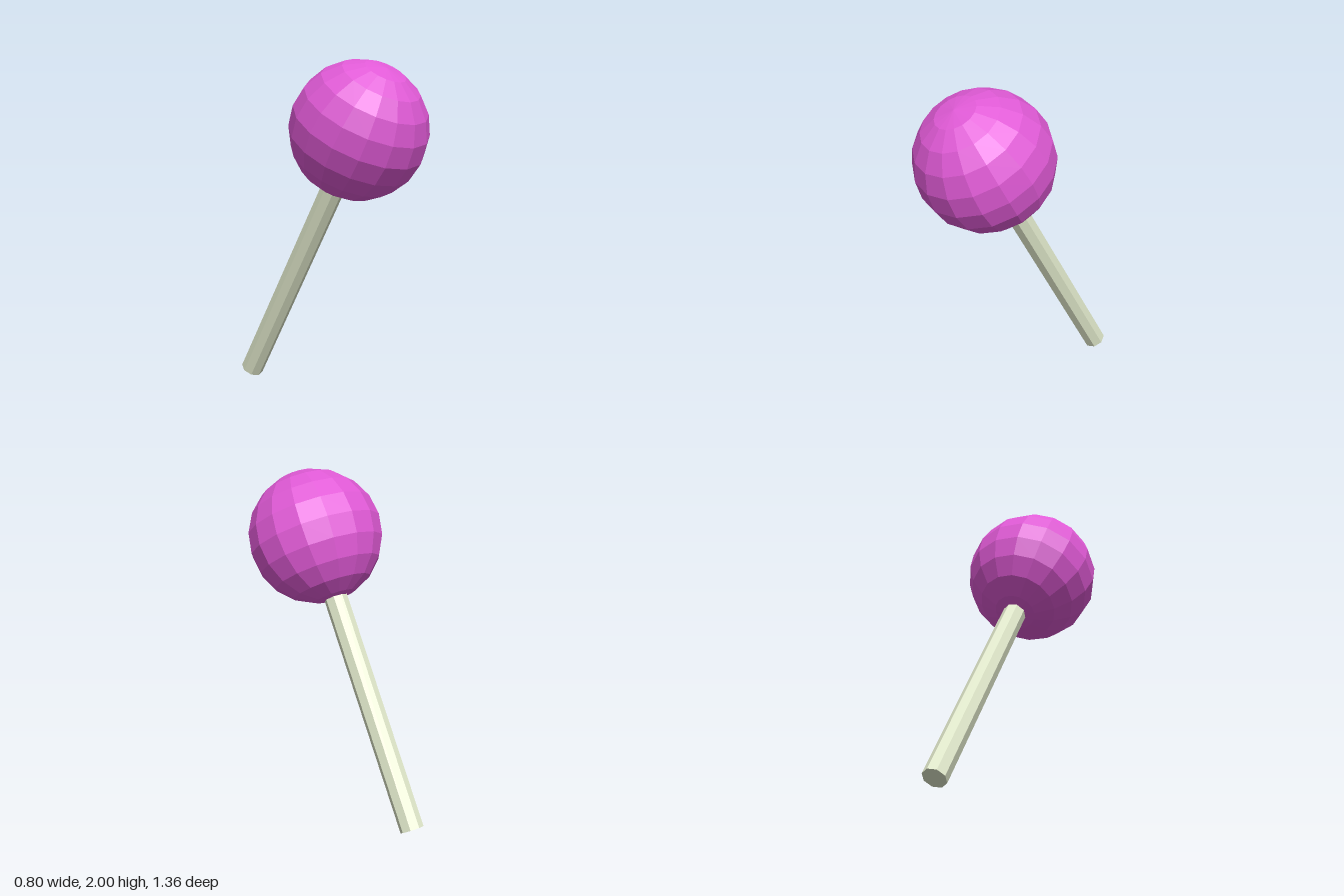
import * as THREE from 'three';

export function createModel() {
  const model = new THREE.Group();
  const length = 1.808; // ball centre to stick end

  const material = (color) => new THREE.MeshStandardMaterial({ color, flatShading: true });

  // Round faceted candy ball, pole along the stick
  const ball = new THREE.Mesh(new THREE.SphereGeometry(0.4, 16, 10), material(0xe05ad6));
  ball.name = 'candyBall';

  // Octagonal stick running up into the ball
  const stickGeometry = new THREE.CylinderGeometry(0.07, 0.07, length, 8);
  stickGeometry.translate(0, -length / 2, 0);
  const stick = new THREE.Mesh(stickGeometry, material(0xe3ebcd));
  stick.name = 'stick';

  // Whole lollipop leans forward by 30 degrees
  const lollipop = new THREE.Group();
  lollipop.name = 'lollipop';
  lollipop.add(ball, stick);
  lollipop.rotation.x = Math.PI / 6;
  lollipop.position.set(0, 1.602, 0.282);
  model.add(lollipop);

  return model;
}
